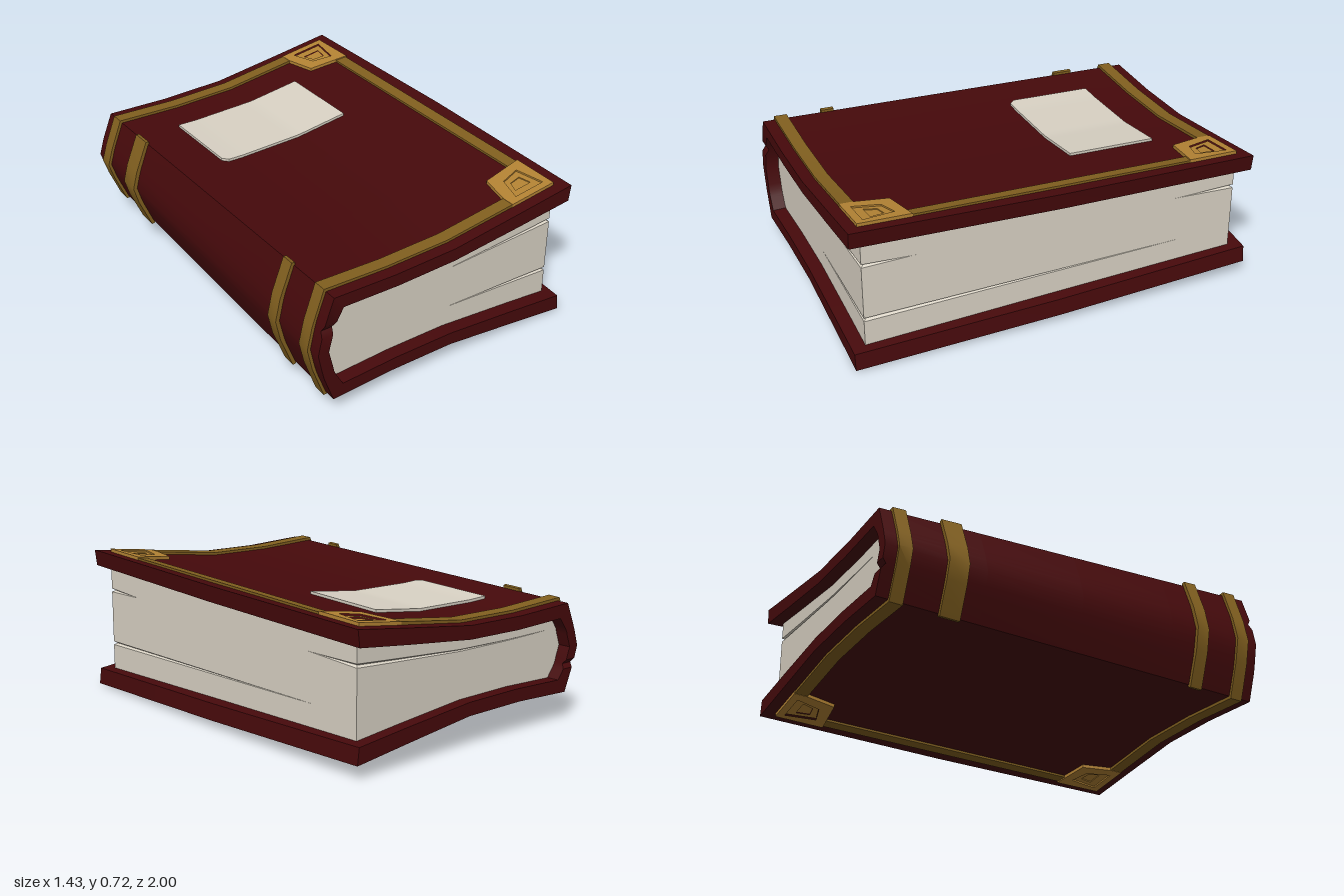
import * as THREE from 'three';
import { toCreasedNormals } from 'three/addons/utils/BufferGeometryUtils.js';

const C = 0.362; // height of the book's middle plane
const mat = (color) => new THREE.MeshStandardMaterial({ color });
const leather = mat(0x46090b), gold = mat(0x82601f), brightGold = mat(0xb58434), paper = mat(0xdad3c5);

// Half profiles [x, height above the middle, notch], from fore edge to spine
const coverOuter = [[0.7, 0.352], [0.4, 0.313], [0.03, 0.267], [-0.3, 0.262], [-0.62, 0.275],
  [-0.667, 0.145], [-0.675, 0.115, 0.018], [-0.682, 0.085], [-0.7, 0]];
const coverInner = [[0.69, 0.272], [0.4, 0.24], [0.03, 0.203], [-0.28, 0.198], [-0.57, 0.208],
  [-0.605, 0.145], [-0.618, 0.115, 0.018], [-0.624, 0.085], [-0.645, 0]];
const trimOuter = [[0.42, 0.33], [0.03, 0.28], [-0.3, 0.275], [-0.63, 0.29], [-0.69, 0.118], [-0.716, 0]];
const trimInner = [[0.42, 0.3], [0.03, 0.26], [-0.3, 0.255], [-0.6, 0.262], [-0.665, 0.11], [-0.69, 0]];
const bandOuter = [[-0.615, 0.288], [-0.632, 0.291], [-0.695, 0.12], [-0.72, 0]];
const bandInner = [[-0.615, 0.265], [-0.62, 0.262], [-0.665, 0.11], [-0.69, 0]];

// The book is thinner at the back: the boards close in evenly toward -z
const taper = (y, z) => y - 0.03 * (1 - z) * THREE.MathUtils.clamp(y / 0.2, -1, 1);

// Height of a half profile at x
function heightAt(list, x) {
  for (let i = 0; i < list.length - 1; i++) {
    const [x0, y0] = list[i], [x1, y1] = list[i + 1];
    if (x >= x1) return y0 + (y1 - y0) * (x0 - x) / (x0 - x1);
  }
  return 0;
}

function meshFrom(name, geometry, material) {
  const m = new THREE.Mesh(toCreasedNormals(geometry, 0.6), material);
  m.name = name;
  return m;
}

function buffer(pos, idx) {
  const g = new THREE.BufferGeometry();
  g.setAttribute('position', new THREE.Float32BufferAttribute(pos, 3));
  g.setIndex(idx);
  return g;
}

// Mirror a C-shaped half profile and sweep it through the z stations (front to back)
function sweep(name, outer, inner, zs, material) {
  const up = ([x, y, n = 0]) => [x, y, n, 0];
  const down = ([x, y, n = 0]) => [x, -y, 0, n];
  const ring = [...outer.map(up), ...outer.slice(0, -1).map(down).reverse(),
    ...inner.slice(0, -1).map(down), ...inner.map(up).reverse()];
  const n = ring.length, last = zs.length - 1, pos = [], idx = [];
  zs.forEach((z, k) => {
    for (const [x, y, front, back] of ring) {
      const bulge = x > 0.65 ? 0.014 * (1 - Math.abs(z)) : 0;
      const dz = k === 0 ? -front : k === last ? back : 0;
      pos.push(x + bulge, C + taper(y, z), z + dz);
    }
  });
  for (let k = 0; k < last; k++) {
    for (let i = 0; i < n; i++) {
      const a = k * n + i, b = k * n + (i + 1) % n;
      idx.push(a, a + n, b, b, a + n, b + n);
    }
  }
  // End caps join each outer point with its inner partner
  for (let a = 0; a < n / 2 - 1; a++) {
    const b = a + 1, c = n - 2 - a, d = n - 1 - a, e = last * n;
    idx.push(a, b, c, a, c, d, e + a, e + c, e + b, e + a, e + d, e + c);
  }
  return meshFrom(name, buffer(pos, idx), material);
}

// Lay a flat piece (y = height above the board) onto the upper (1) or lower (-1) board
function layOnBoard(geometry, side) {
  const g = geometry.index ? geometry.toNonIndexed() : geometry;
  const p = g.attributes.position;
  for (let i = 0; i < p.count; i++) {
    const height = taper(heightAt(coverOuter, p.getX(i)), p.getZ(i)) + p.getY(i);
    p.setY(i, C + side * height);
  }
  g.deleteAttribute('uv');
  if (side < 0) { // keep the faces pointing outward
    const a = p.array;
    for (let i = 0; i < a.length; i += 9) {
      for (let j = 3; j < 6; j++) [a[i + j], a[i + j + 3]] = [a[i + j + 3], a[i + j]];
    }
  }
  return g;
}

// Corner ornament outlines as [x, distance from the middle]
const plate = [[0.4, 0.942], [0.642, 0.942], [0.645, 0.69], [0.435, 0.72], [0.4, 0.88]];
const frame = [[0.45, 0.905], [0.61, 0.905], [0.587, 0.75], [0.487, 0.778]];
const gem = [[0.487, 0.86], [0.577, 0.86], [0.566, 0.793], [0.508, 0.803]];

function cornerOrnament(end, side) {
  const points = (list) => list.map(([x, z]) => new THREE.Vector2(x, -end * z));
  const layer = (name, outline, hole, top) => {
    const shape = new THREE.Shape(points(outline));
    if (hole) shape.holes.push(new THREE.Path(points(hole)));
    const g = new THREE.ExtrudeGeometry(shape, { depth: top + 0.015, bevelEnabled: false });
    g.rotateX(-Math.PI / 2).translate(0, -0.015, 0);
    return meshFrom(name, layOnBoard(g, side), brightGold);
  };
  const group = new THREE.Group();
  group.name = 'cornerOrnament';
  group.add(layer('cornerPlate', plate, frame, 0.016), layer('cornerRecess', frame, gem, 0.008),
    layer('cornerGem', gem, null, 0.003));
  return group;
}

// One side of the page block, with two tapering grooves between loose pages
function pageFace(name, from, to, upper, lower) {
  const N = 40, pos = [], idx = [], rows = 8;
  for (let i = 0; i <= N; i++) {
    const t = i / N;
    const x = from[0] + (to[0] - from[0]) * t, z = from[1] + (to[1] - from[1]) * t;
    const h = taper(heightAt(coverInner, x), z) + 0.01;
    const gu = Math.max(0, upper(x, z)), gl = Math.max(0, lower(x, z));
    const w = 0.009, d = 0.014, u = 0.53 * h, l = -0.48 * h;
    const column = [[-h, 0], [l - w * gl, 0], [l, d * gl], [l + w * gl, 0],
      [u - w * gu, 0], [u, d * gu], [u + w * gu, 0], [h, 0]];
    for (const [y, inset] of column) {
      const zMax = 0.935 - inset;
      pos.push(Math.min(x, 0.647 - inset), C + y, THREE.MathUtils.clamp(z, -zMax, zMax));
    }
  }
  for (let i = 0; i < N; i++) {
    for (let r = 0; r < rows - 1; r++) {
      const a = i * rows + r, b = a + rows;
      idx.push(a, b, b + 1, a, b + 1, a + 1);
    }
  }
  return meshFrom(name, buffer(pos, idx), paper);
}

export function createModel() {
  const book = new THREE.Group();
  book.name = 'book';

  // Leather cover: both boards and the spine in one shell
  book.add(sweep('cover', coverOuter, coverInner, [1, 0.5, 0, -0.5, -1], leather));

  // Page block
  const pages = new THREE.Group();
  pages.name = 'pages';
  const frontGroove = (x) => (x - 0.05) / 0.597;
  pages.add(
    pageFace('pagesFront', [-0.65, 0.935], [0.647, 0.935], frontGroove, frontGroove),
    pageFace('pagesForeEdge', [0.647, 0.935], [0.647, -0.935],
      (x, z) => Math.max((z - 0.7) / 0.235, (-z - 0.64) / 0.295), (x, z) => (z + 0.66) / 1.595),
    pageFace('pagesBack', [0.647, -0.935], [-0.65, -0.935], (x) => (x + 0.55) / 1.197, () => 0));
  book.add(pages);

  // Gold trim around each end, raised spine bands and corner ornaments
  for (const end of [1, -1]) {
    const zs = [end * 0.94, end * 0.875].sort((a, b) => b - a);
    book.add(sweep('endTrim', trimOuter, trimInner, zs, gold));
    book.add(sweep('spineBand', bandOuter, bandInner, end > 0 ? [0.7, 0.635] : [-0.6, -0.7], gold));
    for (const side of [1, -1]) book.add(cornerOrnament(end, side));
  }

  // Gold strips along the fore edges, between the ornaments
  for (const side of [1, -1]) {
    const strip = new THREE.BoxGeometry(0.057, 0.022, 1.42, 1, 1, 8).translate(0.6125, -0.001, 0);
    book.add(meshFrom('foreEdgeTrim', layOnBoard(strip, side), gold));
  }

  // Paper label on the upper board, with one clipped corner
  const label = new THREE.BoxGeometry(0.705, 0.024, 0.445, 20, 1, 16);
  const p = label.attributes.position;
  for (let i = 0; i < p.count; i++) {
    if (p.getX(i) < -0.35 && p.getZ(i) > 0.22) p.setX(i, p.getX(i) + 0.025);
  }
  label.translate(-0.0475, 0.001, -0.4575);
  book.add(meshFrom('label', layOnBoard(label, 1), paper));

  return book;
}
